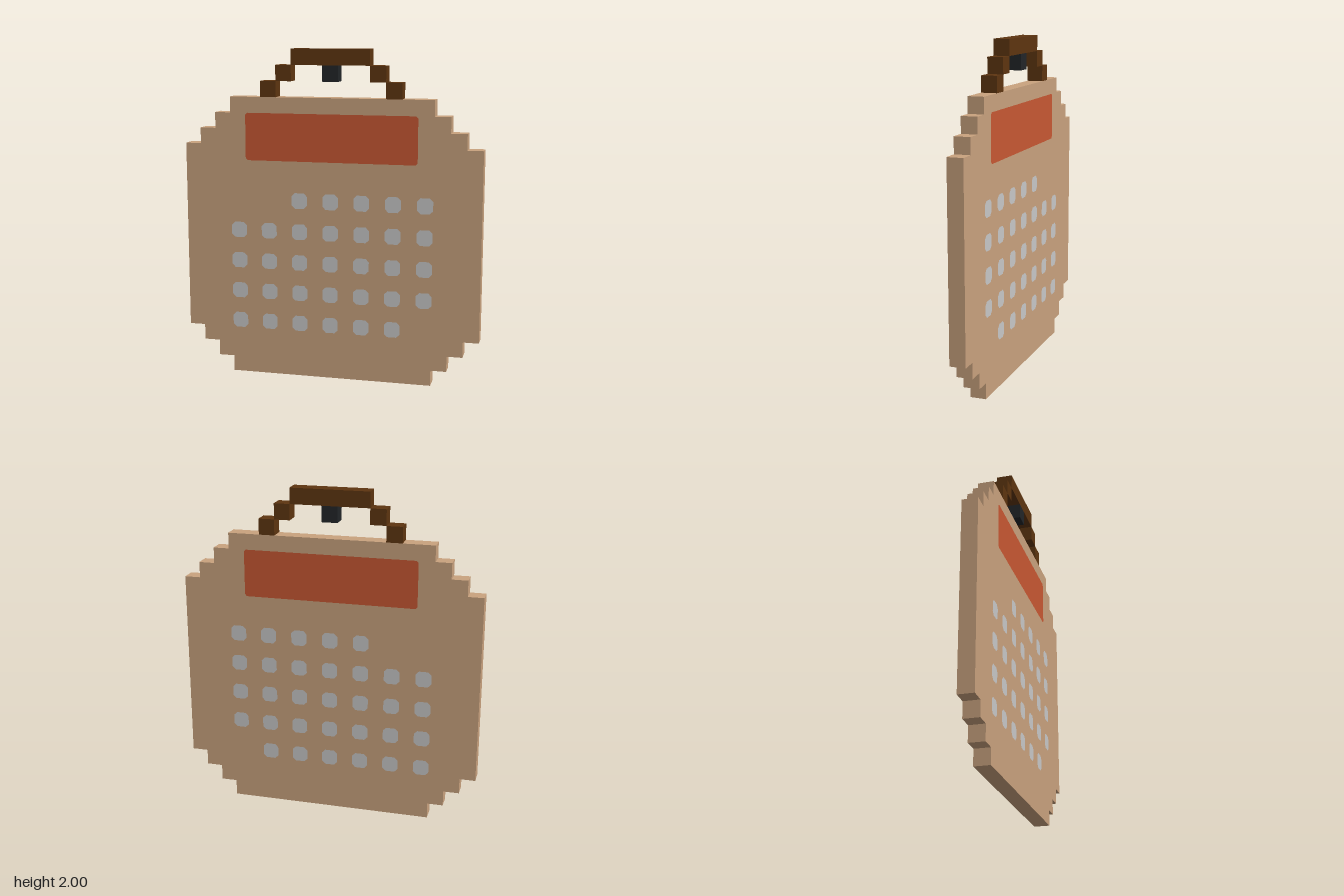
import * as THREE from 'three';

const P = 2 / 21; // one pixel cell

function material(name, color) {
  const m = new THREE.MeshStandardMaterial({ color });
  m.name = name;
  return m;
}

// rectangle with clipped corners, centred on the origin
function clippedRect(w, h, c) {
  const x = w / 2, y = h / 2;
  return new THREE.Shape([
    [x, y - c], [x - c, y], [c - x, y], [-x, y - c],
    [-x, c - y], [c - x, -y], [x - c, -y], [x, c - y],
  ].map(([a, b]) => new THREE.Vector2(a, b)));
}

export function createModel() {
  const group = new THREE.Group();
  const tan = material('tan', 0xc9a27e);
  const orange = material('burnt orange', 0xc85833);
  const grey = material('light grey', 0xc8c8c8);
  const brown = material('dark brown', 0x5e3510);
  const black = material('charcoal', 0x222528);

  const add = (name, geometry, mat, x = 0, y = 0, z = 0, parent = group) => {
    const mesh = new THREE.Mesh(geometry, mat);
    mesh.name = name;
    mesh.position.set(x, y, z);
    parent.add(mesh);
    return mesh;
  };

  // stepped body slab: right-hand outline in cells, mirrored to the left
  const half = [
    [6.5, 0], [6.5, 1], [7.5, 1], [7.5, 2], [8.5, 2], [8.5, 3], [9.5, 3],
    [9.5, 15], [8.5, 15], [8.5, 16], [7.5, 16], [7.5, 17], [6.5, 17], [6.5, 18],
  ];
  const outline = [...half, ...half.map(([x, y]) => [-x, y]).reverse()];
  const bodyShape = new THREE.Shape(outline.map(([x, y]) => new THREE.Vector2(x * P, y * P)));
  const body = new THREE.ExtrudeGeometry(bodyShape, { depth: P, bevelEnabled: false });
  add('body', body, tan, 0, 0, -P / 2);

  // painted banner and day squares on both faces
  const bannerGeo = new THREE.ShapeGeometry(clippedRect(11 * P, 3 * P, 0.012));
  const dayGeo = new THREE.ShapeGeometry(clippedRect(P, P, 0.02));
  for (const side of [1, -1]) {
    const face = new THREE.Group();
    face.name = side > 0 ? 'frontPrint' : 'backPrint';
    group.add(face);
    const paint = (name, geo, mat, x, y) => {
      const mesh = add(name, geo, mat, x * P, y * P, side * (P / 2 + 0.0015), face);
      if (side < 0) mesh.rotation.y = Math.PI;
    };
    paint('banner', bannerGeo, orange, 0, 15.5);
    for (let row = 0; row < 5; row++) {
      for (let col = 0; col < 7; col++) {
        // first row starts late, last row ends early
        if ((row === 0 && col < 2) || (row === 4 && col === 6)) continue;
        paint('daySquare', dayGeo, grey, (col - 3) * 2, 11.5 - row * 2);
      }
    }
  }

  // stepped handle
  const handle = new THREE.Group();
  handle.name = 'handle';
  group.add(handle);
  const cube = new THREE.BoxGeometry(P, P, P);
  for (const s of [1, -1]) {
    add('handleLowerStep', cube, brown, s * 4 * P, 18.5 * P, 0, handle);
    add('handleUpperStep', cube, brown, s * 3 * P, 19.5 * P, 0, handle);
  }
  add('handleBar', new THREE.BoxGeometry(5 * P, P, P), brown, 0, 20.5 * P, 0, handle);

  // peg hanging under the bar
  add('peg', cube, black, 0, 19.5 * P);

  return group;
}
